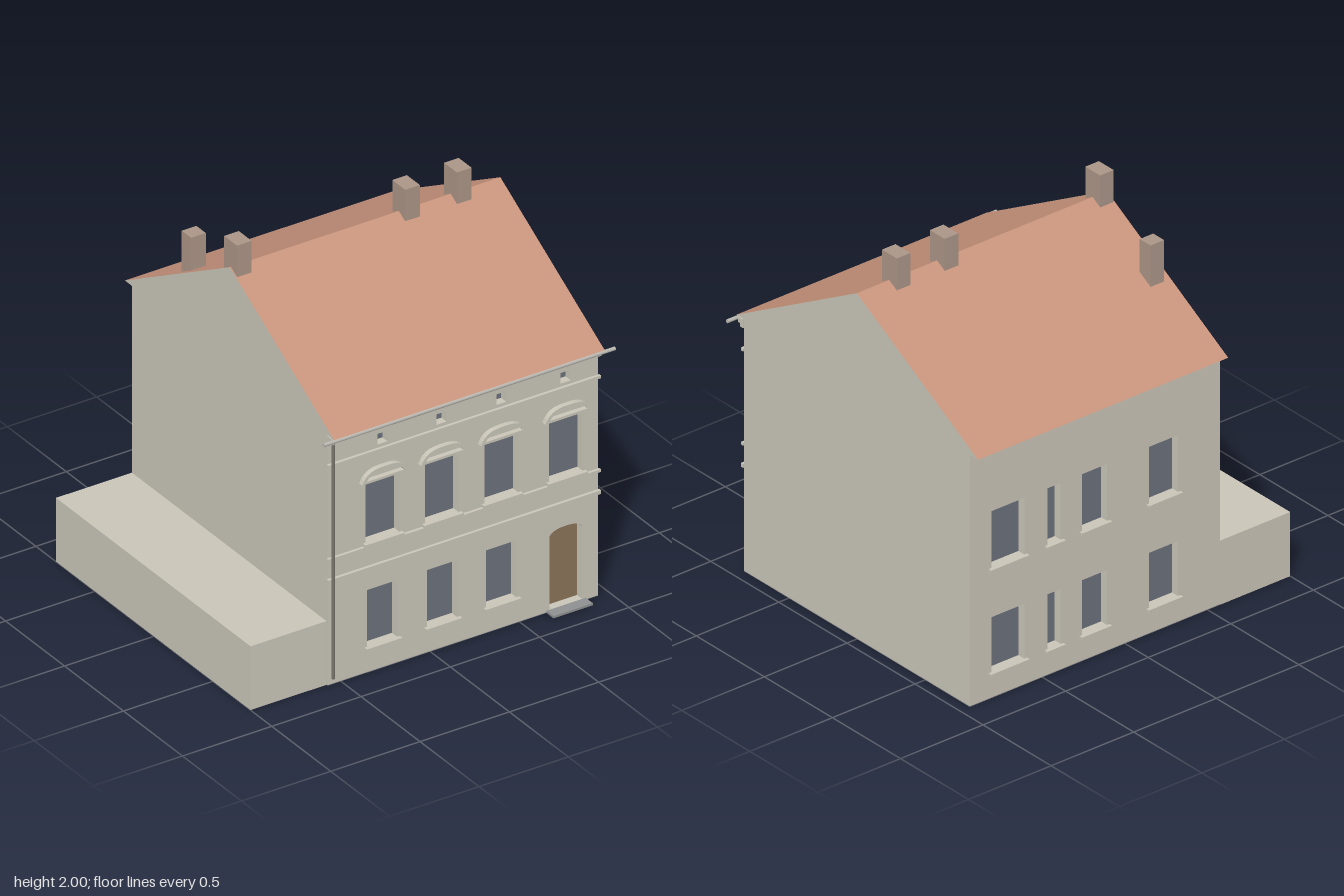
import * as THREE from 'three';

const mat = (name, color, side = THREE.FrontSide) => {
  const m = new THREE.MeshStandardMaterial({ color, side });
  m.name = name;
  return m;
};

export function createModel() {
  const house = new THREE.Group();
  house.name = 'townHouse';
  const wall = mat('plaster', 0xc9c5b8);
  const tile = mat('roofTile', 0xc8947c);
  const brick = mat('chimneyBrick', 0xab9587);
  const glass = mat('windowGlass', 0x6c717c);
  const wood = mat('doorWood', 0x8a7359);
  const base = mat('baseStone', 0x8e8f90);
  const pipe = mat('downpipeMetal', 0x77756c);
  const zinc = mat('gutterZinc', 0xb9b7b0);

  const L = -0.575, R = 0.94, EAVE = 1.355, FACE = 0.83, REVEAL = 0.05;
  const INNER = FACE - REVEAL;

  const add = (name, geo, material, parent = house) => {
    const m = new THREE.Mesh(geo, material);
    m.name = name;
    parent.add(m);
    return m;
  };
  // Box given by its limits on each axis
  const box = (name, x0, x1, y0, y1, z0, z1, material) => {
    const g = new THREE.BoxGeometry(x1 - x0, y1 - y0, z1 - z0);
    g.translate((x0 + x1) / 2, (y0 + y1) / 2, (z0 + z1) / 2);
    return add(name, g, material);
  };
  const rect = (x0, x1, y0, y1, C = THREE.Path) => {
    const p = new C();
    p.moveTo(x0, y0).lineTo(x1, y0).lineTo(x1, y1).lineTo(x0, y1).closePath();
    return p;
  };
  // Wall panel with openings, standing between z0 and z0 + REVEAL
  const panel = (name, holes, z0) => {
    const s = rect(L, R, 0.004, EAVE, THREE.Shape);
    s.holes.push(...holes);
    const g = new THREE.ExtrudeGeometry(s, { depth: REVEAL, bevelEnabled: false, curveSegments: 12 });
    g.translate(0, 0, z0);
    add(name, g, wall);
  };

  // Openings as [x0, x1, y0, y1]
  const upperX = [-0.268, 0.063, 0.397, 0.758];
  const lowerX = [-0.27, 0.065, 0.397];
  const upper = upperX.map(x => [x - 0.094, x + 0.094, 0.705, 1.022]);
  const lower = lowerX.map(x => [x - 0.084, x + 0.084, 0.14, 0.447]);
  const attic = upperX.map(x => [x - 0.028, x + 0.028, 1.215, 1.272]);
  const backX = [[0.61, 0.81], [0.39, 0.47], [0.11, 0.26], [-0.32, -0.145]];
  const back = [];
  for (const [x0, x1] of backX) back.push([x0, x1, 0.14, 0.435], [x0, x1, 0.70, 1.005]);

  // Door opening with a shallow arch
  const doorHole = new THREE.Path();
  doorHole.moveTo(0.666, 0.012).lineTo(0.85, 0.012).lineTo(0.85, 0.405);
  doorHole.quadraticCurveTo(0.835, 0.438, 0.758, 0.438);
  doorHole.quadraticCurveTo(0.681, 0.438, 0.666, 0.405);
  doorHole.closePath();

  // Main body
  box('baseSlab', L, R, 0, 0.004, -FACE, FACE, base);
  box('houseCore', L, R, 0.004, EAVE, -INNER, INNER, wall);
  panel('frontWall', [...upper, ...lower, ...attic].map(o => rect(...o)).concat(doorHole), INNER);
  panel('backWall', back.map(o => rect(...o)), -FACE);
  box('annex', -1, L, 0, 0.345, -FACE, 0.82, wall);

  // Panes set at the back of each reveal
  for (const o of [...upper, ...lower, ...attic]) box('frontPane', ...o, INNER, INNER + 0.006, glass);
  for (const o of back) box('backPane', ...o, -INNER - 0.006, -INNER, glass);
  box('frontDoor', 0.666, 0.85, 0.012, 0.438, INNER, INNER + 0.006, wood);
  box('doorStep', 0.65, 0.87, 0, 0.012, 0.77, 0.89, base);

  // Window sills
  for (const [x0, x1, y] of [...upper, ...lower])
    box('frontSill', x0 - 0.016, x1 + 0.016, y - 0.014, y, INNER, FACE + 0.022, wall);
  for (const [x0, x1, y] of back)
    box('backSill', x0 - 0.016, x1 + 0.016, y - 0.014, y, -FACE - 0.02, -INNER, wall);

  // Curved hoods over the upper windows
  const arc = (C, w, y0, y1) => {
    const p = new C();
    p.moveTo(-w, y0).lineTo(w, y0);
    p.bezierCurveTo(w * 0.8, y1, w * 0.35, y1, 0, y1);
    p.bezierCurveTo(-w * 0.35, y1, -w * 0.8, y1, -w, y0);
    return p;
  };
  const hood = arc(THREE.Shape, 0.131, 1.038, 1.105);
  hood.holes.push(arc(THREE.Path, 0.105, 1.051, 1.09));
  const hoodGeo = new THREE.ExtrudeGeometry(hood, { depth: 0.027, bevelEnabled: false, curveSegments: 8 });
  for (const x of upperX) add('windowHood', hoodGeo, wall).position.set(x, 0, FACE);

  // Horizontal mouldings and stepped cornice
  for (const [y0, y1, d] of [[0.557, 0.577, 0.016], [0.676, 0.69, 0.016], [1.183, 1.198, 0.016],
    [1.308, 1.326, 0.022], [1.326, 1.342, 0.035], [1.342, EAVE, 0.046]])
    box('moulding', L - 0.005, R + 0.005, y0, y1, FACE, FACE + d, wall);

  // Roof prism: plaster gables, tiled slopes and soffit
  const gable = new THREE.Shape();
  gable.moveTo(-0.885, EAVE).lineTo(0.89, EAVE).lineTo(0, 1.86).closePath();
  const roofGeo = new THREE.ExtrudeGeometry(gable, { depth: R - L, bevelEnabled: false });
  roofGeo.rotateY(Math.PI / 2).translate(L, 0, 0);
  add('roof', roofGeo, [wall, tile]);

  // Gutter and downpipe
  const gutter = new THREE.CylinderGeometry(0.01, 0.01, 1.63, 10);
  gutter.rotateZ(Math.PI / 2).translate(0.185, 1.343, 0.88);
  add('gutter', gutter, zinc);
  const down = new THREE.CylinderGeometry(0.008, 0.008, 1.265, 10);
  down.translate(-0.555, 0.6725, 0.847);
  add('downpipe', down, pipe);

  // Chimneys
  for (const x of [-0.528, 0.413, 0.703])
    box('ridgeChimney', x - 0.041, x + 0.041, 1.8, 2, -0.056, 0.053, brick);
  box('backChimney', -0.535, -0.453, 1.56, 1.817, -0.468, -0.388, brick);

  return house;
}
